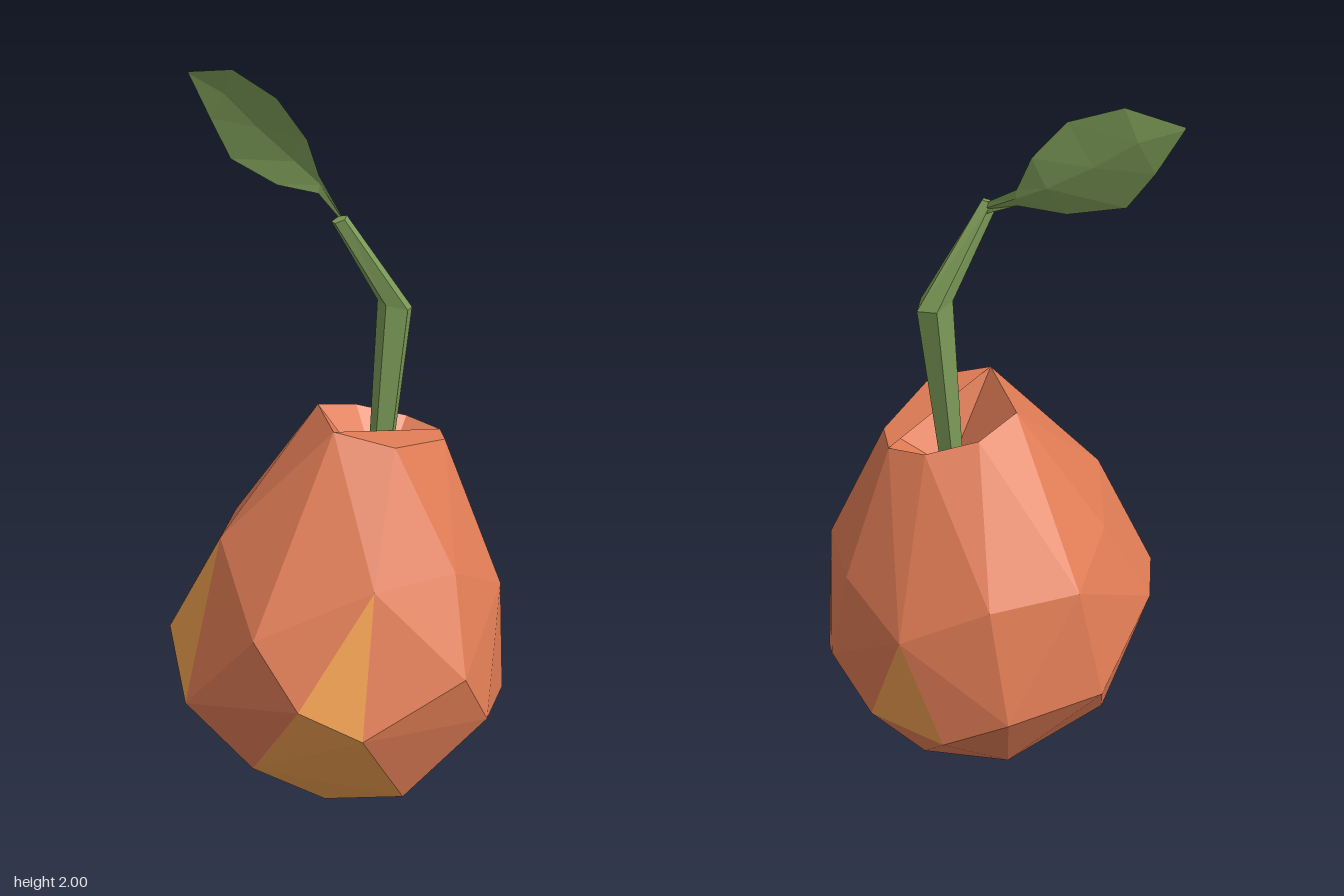
import * as THREE from 'three';
import { ConvexGeometry } from 'three/addons/geometries/ConvexGeometry.js';

const mat = (color, side = THREE.FrontSide) =>
  new THREE.MeshStandardMaterial({ color, flatShading: true, side });
const V = (a) => new THREE.Vector3(...a);

function meshFrom(name, positions, material) {
  const g = new THREE.BufferGeometry();
  g.setAttribute('position', new THREE.Float32BufferAttribute(positions, 3));
  g.computeVertexNormals();
  const m = new THREE.Mesh(g, material);
  m.name = name;
  return m;
}

// Triangles joining consecutive cross-sections of equal point count
function loft(sections, closed) {
  const out = [];
  const n = sections[0].length;
  for (let i = 0; i < sections.length - 1; i++) {
    for (let j = 0; j < (closed ? n : n - 1); j++) {
      const k = (j + 1) % n;
      const a = sections[i][j], b = sections[i][k], c = sections[i + 1][k], d = sections[i + 1][j];
      out.push(...a, ...d, ...c, ...a, ...c, ...b);
    }
  }
  return out;
}

// Cone of triangles from a ring to an apex
const fan = (ring, apex) => ring.flatMap((p, i) => [...p, ...ring[(i + 1) % ring.length], ...apex]);

// Tilted openings at the top and the bottom of the fruit
const rim = [[-0.02, -0.13], [0.11, -0.165], [0.24, -0.11], [0.3, -0.015], [0.275, 0.07], [0.075, 0.185], [-0.065, 0.1]]
  .map(([x, z]) => [x, 1.11 - 0.25 * x, z]);
const base = [[-0.12, 0.165], [-0.02, 0.02], [-0.06, -0.1], [-0.18, -0.09], [-0.22, 0.05]]
  .map(([x, z]) => [x, -0.28 * (x + 0.02), z]);

// Corners of the faceted skin
const corner = {
  frontHigh: [-0.06, 0.78, 0.37], frontHighL: [0.19, 0.77, 0.33], frontMidL: [0.165, 0.52, 0.46],
  frontMid: [-0.135, 0.41, 0.475], frontMidR: [-0.285, 0.49, 0.4], rightFront: [-0.36, 0.65, 0.275],
  frontLowL: [0.26, 0.35, 0.41], leftLow: [0.43, 0.28, 0.175], leftFront: [0.385, 0.65, 0.22],
  leftHigh: [0.44, 0.66, -0.015], leftMid: [0.485, 0.39, 0.015], rightMid: [-0.49, 0.375, 0.065],
  rightBack: [-0.465, 0.5, -0.15], rightHigh: [-0.345, 0.81, -0.03], backR: [-0.365, 0.5, -0.3],
  backHighR: [-0.22, 0.77, -0.27], backHigh: [-0.055, 0.7, -0.42], backHighL: [0.195, 0.7, -0.385],
  backMid: [-0.115, 0.36, -0.46], backMidL: [0.175, 0.36, -0.455], leftBack: [0.395, 0.58, -0.25],
  leftLowBack: [0.43, 0.25, -0.12], backLowL: [0.31, 0.25, -0.33], leftFoot: [0.31, 0.13, -0.21],
  backFoot: [0.08, 0.05, -0.28], frontFoot: [0.03, 0.13, 0.37], rightFoot: [-0.345, 0.21, 0.2],
  rightFootBack: [-0.355, 0.16, -0.08], backFootR: [-0.22, 0.15, -0.3],
};

// Groups of corners whose facets are yellower
const yellowGroups = [
  ['frontHigh', 'frontMid', 'frontMidR'], ['frontMid', 'frontMidR', 'rightFoot'],
  ['frontMid', 'rightFoot', 'frontFoot', 'base0'], ['rightMid', 'rightBack', 'rightHigh'],
  ['rightMid', 'rightFootBack', 'rightBack'], ['leftMid', 'leftLow', 'leftLowBack'],
  ['leftLow', 'leftLowBack', 'leftFoot', 'backFoot', 'base1'],
  ['leftBack', 'leftLowBack', 'backLowL'],
];

function makeFruit() {
  const fruit = new THREE.Group();
  fruit.name = 'fruit';
  const names = new Map();
  const key = (p) => p.map((v) => (Math.round(v * 1e4))).join();
  const all = [];
  const add = (name, p) => { names.set(key(p), name); all.push(V(p)); };
  rim.forEach((p, i) => add('rim' + i, p));
  base.forEach((p, i) => add('base' + i, p));
  Object.entries(corner).forEach(([n, p]) => add(n, p));

  // Sort hull facets into skin and patches, leaving both openings free
  const pos = new ConvexGeometry(all).getAttribute('position');
  const skin = [], patches = [];
  for (let i = 0; i < pos.count; i += 3) {
    const tri = [0, 1, 2].map((k) => [pos.getX(i + k), pos.getY(i + k), pos.getZ(i + k)]);
    const ids = tri.map((p) => names.get(key(p)) ?? '');
    if (['rim', 'base'].some((s) => ids.every((n) => n.startsWith(s)))) continue;
    const yellow = yellowGroups.some((g) => ids.every((n) => g.includes(n)));
    (yellow ? patches : skin).push(...tri.flat());
  }
  const orange = 0xe07c55;
  fruit.add(meshFrom('skin', skin, mat(orange)));
  fruit.add(meshFrom('yellowPatches', patches, mat(0xf0a050)));
  // Hollows around the stem and under the fruit
  fruit.add(meshFrom('stemHollow', fan(rim, [0.11, 0.9, 0.01]), mat(orange, THREE.DoubleSide)));
  fruit.add(meshFrom('baseHollow', fan(base, [-0.12, 0.13, 0.02]), mat(orange, THREE.DoubleSide)));
  return fruit;
}

// Five-sided stem with one bend; tilt lowers the +x side of a ring
function makeStem(material) {
  const ring = (x, y, r, tilt) => Array.from({ length: 5 }, (_, i) => {
    const a = -i * Math.PI * 2 / 5;
    return [x + r * Math.cos(a), y + tilt * r * Math.cos(a), r * Math.sin(a)];
  });
  const rings = [ring(0.105, 0.88, 0.031, 0), ring(0.152, 1.42, 0.049, -0.25), ring(-0.008, 1.668, 0.021, 0.4)];
  const tris = loft(rings, true);
  tris.push(...fan(rings[2], [-0.008, 1.668, 0]));
  return meshFrom('stem', tris, material);
}

// Thin leaf with a raised midrib: each section is upper edge, midrib, lower edge
function makeLeaf(material) {
  const edges = [
    [[0.005, 1.66, 0.01], [0.018, 1.635, 0], 0],
    [[-0.01, 1.75, -0.135], [-0.015, 1.705, -0.13], 0.006],
    [[-0.03, 1.84, -0.17], [-0.09, 1.71, -0.24], 0.015],
    [[-0.09, 1.94, -0.23], [-0.175, 1.76, -0.37], 0.02],
    [[-0.17, 2, -0.35], [-0.21, 1.86, -0.43], 0.012],
    [[-0.255, 1.98, -0.475], [-0.253, 1.975, -0.475], 0],
  ];
  const sections = edges.map(([u, l, rise]) => {
    const m = V(u).lerp(V(l), 0.5).add(new THREE.Vector3(0.82, 0, -0.57).multiplyScalar(rise));
    return [u, m.toArray(), l];
  });
  return meshFrom('leaf', loft(sections, false), material);
}

export function createModel() {
  const model = new THREE.Group();
  model.name = 'pear';
  const green = mat(0x7d9c58, THREE.DoubleSide);
  model.add(makeFruit(), makeStem(green), makeLeaf(green));
  return model;
}
